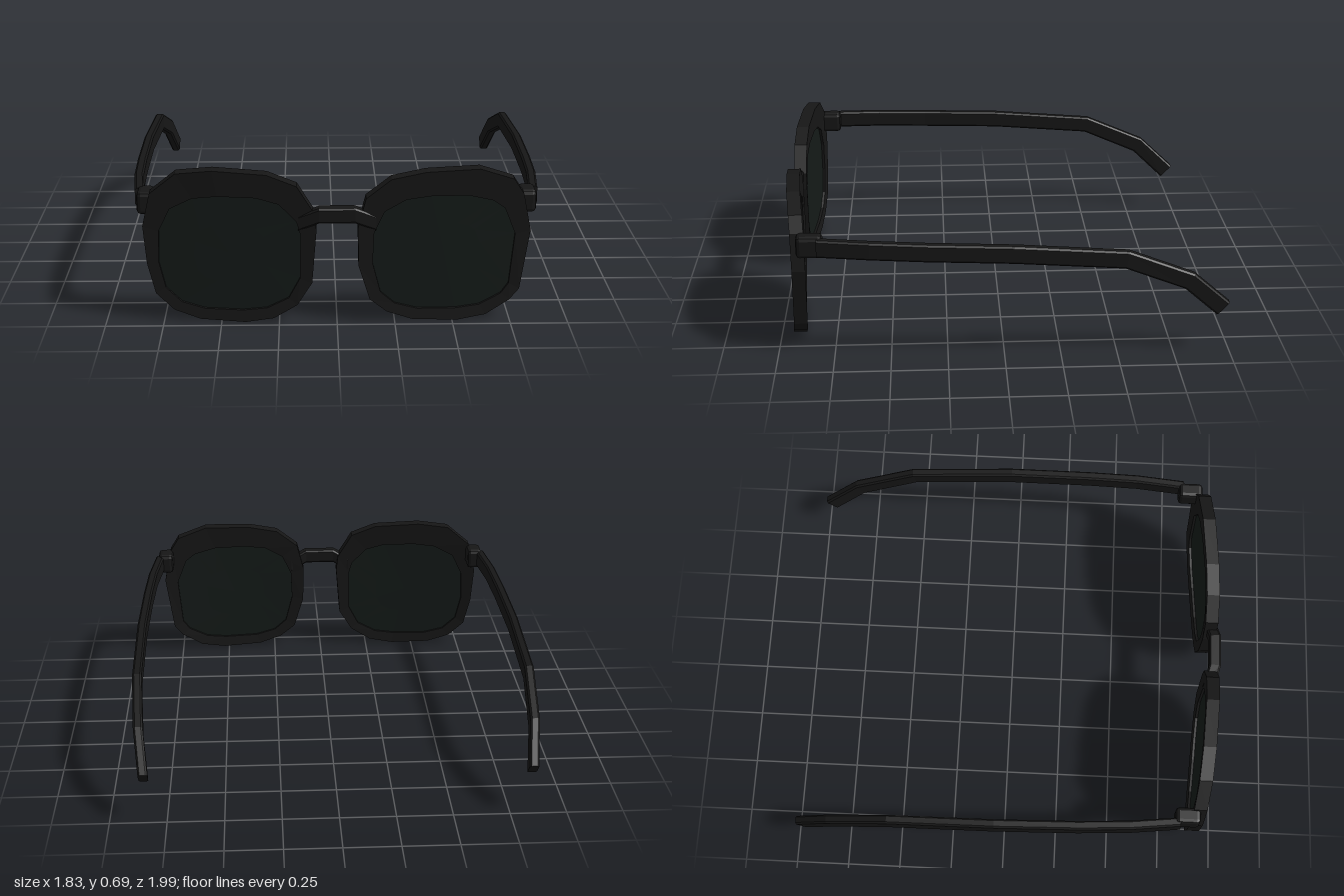
import * as THREE from 'three';
import { RoundedBoxGeometry } from 'three/addons/geometries/RoundedBoxGeometry.js';

const frameMat = new THREE.MeshStandardMaterial({ color: 0x161616, flatShading: true });
const glassMat = new THREE.MeshStandardMaterial({ color: 0x141a18, flatShading: true });

// Skin a sequence of loops with equal point counts
function loft(loops) {
  const n = loops[0].length, pos = loops.flat().flatMap((p) => [p.x, p.y, p.z]), idx = [];
  for (let i = 0; i < loops.length - 1; i++) {
    for (let j = 0; j < n; j++) {
      const a = i * n + j, b = i * n + (j + 1) % n;
      idx.push(a, b, b + n, a, b + n, a + n);
    }
  }
  const g = new THREE.BufferGeometry();
  g.setAttribute('position', new THREE.Float32BufferAttribute(pos, 3));
  g.setIndex(idx);
  g.computeVertexNormals();
  return g;
}

// Sweep a chamfered rectangle (w along u, h across) along points, capped at both ends
function sweep(points, u, w, h) {
  const c = 0.008, W = w / 2, H = h / 2;
  const section = [[W, -H + c], [W, H - c], [W - c, H], [-W + c, H],
    [-W, H - c], [-W, -H + c], [-W + c, -H], [W - c, -H]];
  const last = points.length - 1;
  const loops = points.map((p, i) => {
    const t = points[Math.min(i + 1, last)].clone().sub(points[Math.max(i - 1, 0)]).normalize();
    const v = t.cross(u).normalize();
    return section.map(([a, b]) => p.clone().addScaledVector(u, a).addScaledVector(v, b));
  });
  const cap = (p) => section.map(() => p.clone());
  return loft([cap(points[0]), ...loops, cap(points[last])]);
}

// Rim outlines about each lens centre, counter-clockwise
const lower = [[-0.245, -0.294], [-0.132, -0.333], [0.064, -0.343], [0.186, -0.323], [0.289, -0.26]];
const outlines = {
  right: [[0.372, 0.083], [0.363, 0.16], [0.289, 0.28], [0.162, 0.33], [-0.069, 0.345], [-0.225, 0.328],
    [-0.338, 0.235], [-0.372, 0.088], [-0.358, -0.083], [-0.324, -0.22], ...lower, [0.353, -0.157]],
  left: [[0.372, 0.06], [0.338, 0.225], [0.294, 0.294], [0.147, 0.345], [-0.083, 0.338], [-0.23, 0.309],
    [-0.338, 0.225], [-0.372, 0.093], [-0.368, -0.08], [-0.32, -0.235], ...lower, [0.332, -0.21]],
};

// Rounded-square opening point in the direction of a rim point
function opening([x, y]) {
  const dx = x / 0.308, dy = (y + 0.03) / 0.26;
  const k = (Math.abs(dx) ** 3 + Math.abs(dy) ** 3) ** (-1 / 3);
  return [x * k, (y + 0.03) * k - 0.03];
}

// Place a flat loop on the wrap-around curve of the front
const place = (loop, cx, dz, s = 1) => loop.map(([lx, ly]) => {
  const x = cx + lx * s, y = 0.343 + (ly + 0.03) * s - 0.03;
  return new THREE.Vector3(x, y, 0.948 - 0.08 * x * x + dz);
});

export function createModel() {
  const model = new THREE.Group();
  const add = (name, geometry, material = frameMat) => {
    const m = new THREE.Mesh(geometry, material);
    m.name = name;
    model.add(m);
    return m;
  };

  for (const [side, s] of [['right', -1], ['left', 1]]) {
    const cx = 0.46 * s, outer = outlines[side], inner = outer.map(opening);

    // Rim ring and the glass it holds
    add(side + 'Rim', loft([
      place(outer, cx, -0.03), place(outer, cx, 0.03),
      place(inner, cx, 0.024), place(inner, cx, -0.024), place(outer, cx, -0.03),
    ]));
    add(side + 'Lens', loft([
      place(inner, cx, -0.012, 0), place(inner, cx, -0.012, 0.5), place(inner, cx, -0.012, 1.01),
      place(inner, cx, 0.012, 1.01), place(inner, cx, 0.012, 0.5), place(inner, cx, 0.012, 0),
    ]), glassMat);

    // Hinge block behind the outer corner of the rim
    add(side + 'Hinge', new RoundedBoxGeometry(0.075, 0.1, 0.115, 1, 0.018))
      .position.set(0.82 * s, 0.522, 0.842);

    // Temple arm bowing outward, then hooking down behind the ear
    const arm = [[0.85, 0.523, 0.81], [0.875, 0.517, 0.58], [0.886, 0.508, 0.34], [0.893, 0.496, -0.04],
      [0.887, 0.46, -0.53], [0.87, 0.345, -0.81], [0.847, 0.2, -0.967]]
      .map(([x, y, z]) => new THREE.Vector3(x * s, y, z));
    add(side + 'Temple', sweep(arm, new THREE.Vector3(1, 0, 0), 0.042, 0.08));
  }

  // Nose bridge, its ends dropping into the rims
  const bridge = [[-0.16, 0.455, 0.945], [-0.075, 0.496, 0.967], [0.075, 0.496, 0.967], [0.16, 0.455, 0.945]]
    .map((p) => new THREE.Vector3(...p));
  add('bridge', sweep(bridge, new THREE.Vector3(0, 1, 0), 0.068, 0.055));

  return model;
}
